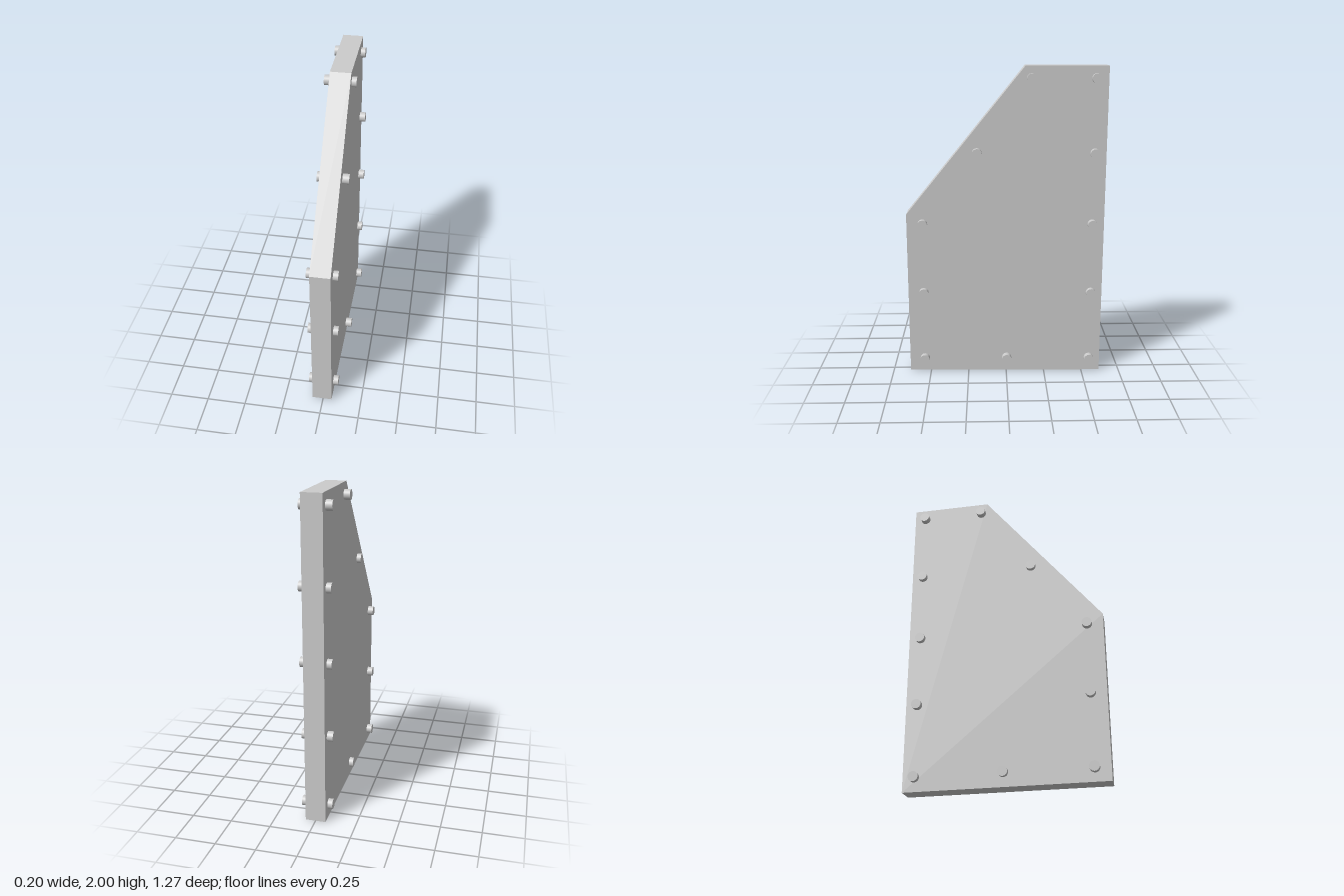
import * as THREE from 'three';

export function createModel() {
  const model = new THREE.Group();
  const material = new THREE.MeshStandardMaterial({ color: 0xcccccc });

  // Slab with one sloping corner, outlined as [z, y] and extruded along x
  const outline = [[0.635, 0.01], [0.635, 1.075], [-0.117, 2], [-0.63, 2], [-0.62, 0]];
  const thickness = 0.126;
  const shape = new THREE.Shape(outline.map(([z, y]) => new THREE.Vector2(-z, y)));
  const slab = new THREE.ExtrudeGeometry(shape, { depth: thickness, bevelEnabled: false });
  slab.translate(0, 0, -thickness / 2).rotateY(Math.PI / 2);
  const panel = new THREE.Mesh(slab, material);
  panel.name = 'panel';
  panel.position.x = -0.003;
  panel.rotation.y = -0.004;
  model.add(panel);

  // Pins through the slab near its edge: [z, y, x offset]
  const pins = [
    [-0.157, 1.925, -0.007], [-0.555, 1.925, -0.007],
    [0.183, 1.467, 0.003], [-0.555, 1.463, 0.002],
    [0.533, 1.012, -0.007], [-0.55, 1.007, 0.002],
    [0.535, 0.553, -0.007], [-0.55, 0.548, -0.003],
    [0.538, 0.095, -0.007], [-0.003, 0.095, 0.003], [-0.548, 0.09, 0.002],
  ];
  const pinGeometry = new THREE.CylinderGeometry(0.031, 0.031, 0.194, 32).rotateZ(Math.PI / 2);
  const pinGroup = new THREE.Group();
  pinGroup.name = 'pins';
  for (const [z, y, x] of pins) {
    const pin = new THREE.Mesh(pinGeometry, material);
    pin.name = 'pin';
    pin.position.set(x, y, z);
    pinGroup.add(pin);
  }
  model.add(pinGroup);
  return model;
}
